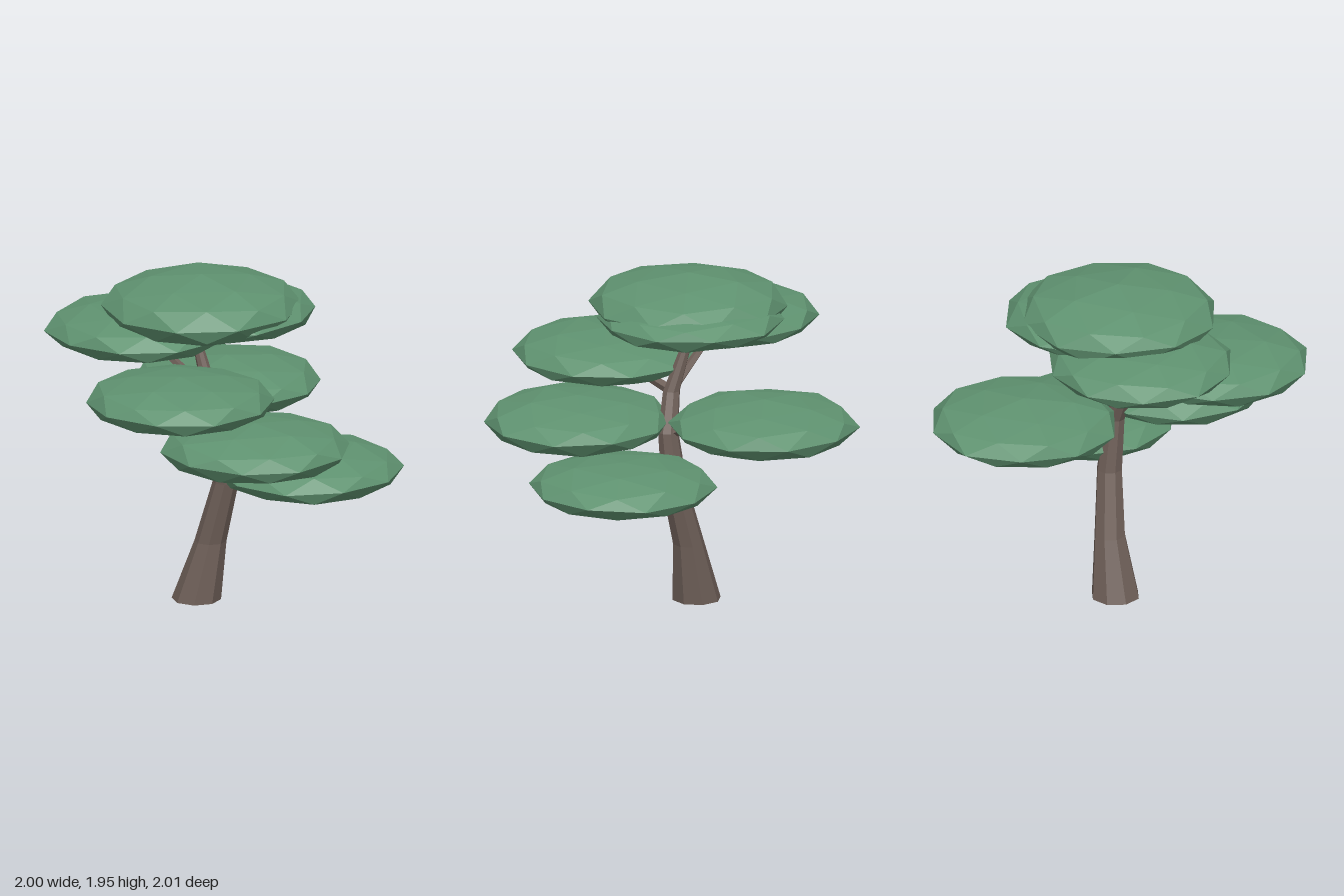
import * as THREE from 'three';

const bark = new THREE.MeshStandardMaterial({ color: 0x6e5f58, flatShading: true });
const leaf = new THREE.MeshStandardMaterial({ color: 0x5f9270, flatShading: true });

// Trunk centre line with a radius at each ring: x, y, z, radius
const rings = [
  [-0.2, 0, 0, 0.142],
  [-0.14, 0.35, -0.055, 0.092],
  [-0.045, 0.72, -0.09, 0.075],
  [-0.015, 1.03, -0.07, 0.06],
  [-0.055, 1.25, 0.01, 0.05],
  [-0.15, 1.52, 0.025, 0.03],
  [-0.17, 1.72, 0, 0.022],
];

// Foliage pads: name, centre, horizontal radius, half height, turn, branch start (trunk ring)
const pads = [
  ['crownPad', [-0.155, 1.77, 0], 0.573, 0.178, 0],
  ['crownBackPad', [-0.13, 1.725, -0.135], 0.54, 0.13, 0],
  ['upperLeftwardPad', [-0.435, 1.615, 0.235], 0.54, 0.138, 0.05, 4],
  ['frontPad', [0.21, 1.375, 0.46], 0.545, 0.14, 0, 4],
  ['backPad', [-0.48, 1.15, -0.455], 0.545, 0.15, 0, 3],
  ['sidePad', [0.47, 1.085, 0.12], 0.545, 0.148, 0.12, 3],
  ['lowPad', [0.34, 0.83, -0.39], 0.54, 0.142, 0, 2],
];

// Repeatable small offset in -1..1 from a position, so shared corners move together
function wobble(x, y, z, seed) {
  const s = Math.sin(Math.round(x * 100) * 12.99 + Math.round(y * 100) * 78.23
    + Math.round(z * 100) * 37.72 + seed * 4.1) * 4375.85;
  return (s - Math.floor(s)) * 2 - 1;
}

// Eight-sided tapering trunk bent along the rings
function makeTrunk() {
  const steps = rings.length - 1;
  const geo = new THREE.CylinderGeometry(1, 1, 1, 8, steps);
  const p = geo.attributes.position;
  for (let i = 0; i < p.count; i++) {
    const [x, y, z, r] = rings[Math.round((p.getY(i) + 0.5) * steps)];
    p.setXYZ(i, x + p.getX(i) * r, y, z + p.getZ(i) * r);
  }
  geo.computeVertexNormals();
  const mesh = new THREE.Mesh(geo, bark);
  mesh.name = 'trunk';
  return mesh;
}

// Thin branch between two points
function makeBranch(from, to) {
  const dir = to.clone().sub(from);
  const mesh = new THREE.Mesh(new THREE.CylinderGeometry(0.015, 0.032, dir.length(), 5), bark);
  mesh.position.copy(from).addScaledVector(dir, 0.5);
  mesh.quaternion.setFromUnitVectors(new THREE.Vector3(0, 1, 0), dir.normalize());
  mesh.name = 'branch';
  return mesh;
}

// Flattened faceted ball with a corner at the top and ten corners round the rim
function makePad(name, centre, radius, halfHeight, turn, seed) {
  const geo = new THREE.IcosahedronGeometry(1, 1);
  geo.rotateZ(-Math.atan(2 / (1 + Math.sqrt(5))));
  const p = geo.attributes.position;
  for (let i = 0; i < p.count; i++) {
    const x = p.getX(i), y = p.getY(i), z = p.getZ(i);
    const side = 1 + 0.015 * wobble(x, y, z, seed);
    const lift = 0.05 * wobble(z, x, y, seed);
    p.setXYZ(i, x * side * radius, (y + lift) * halfHeight, z * side * radius);
  }
  geo.computeVertexNormals();
  const mesh = new THREE.Mesh(geo, leaf);
  mesh.position.set(...centre);
  mesh.rotation.y = turn;
  mesh.name = name;
  return mesh;
}

export function createModel() {
  const tree = new THREE.Group();
  tree.name = 'tree';
  tree.add(makeTrunk());
  pads.forEach(([name, centre, radius, halfHeight, turn, ring], i) => {
    tree.add(makePad(name, centre, radius, halfHeight, turn, i + 1));
    if (ring === undefined) return;
    const [x, y, z] = rings[ring];
    tree.add(makeBranch(new THREE.Vector3(x, y, z), new THREE.Vector3(...centre)));
  });
  return tree;
}
